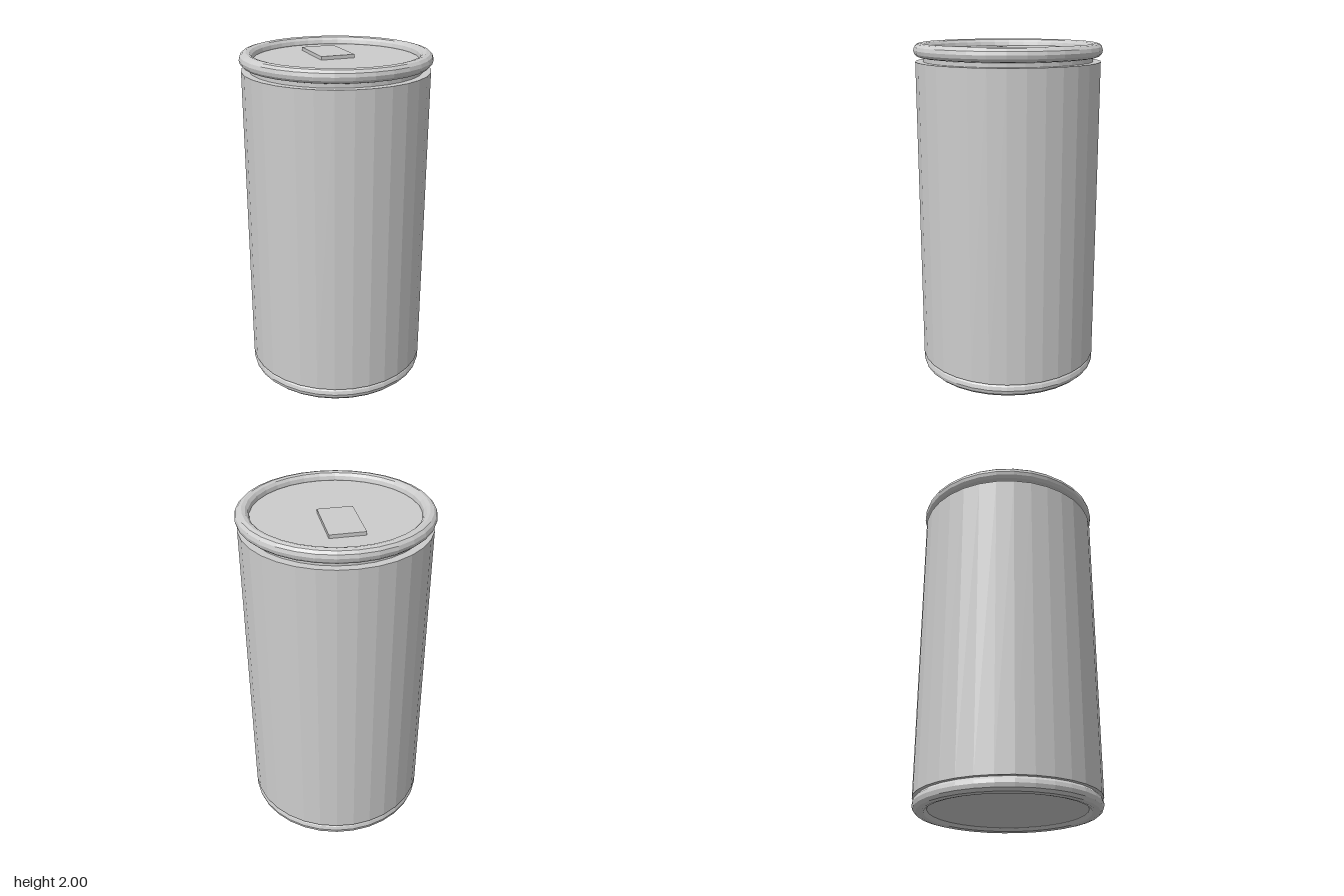
import * as THREE from 'three';

export function createModel() {
  const can = new THREE.Group();
  can.name = 'can';
  const metal = new THREE.MeshStandardMaterial({ color: 0xcccccc, flatShading: true });
  metal.name = 'plainGrey';
  const sides = 32;

  const add = (name, geometry, y, z = 0) => {
    const mesh = new THREE.Mesh(geometry, metal);
    mesh.name = name;
    mesh.position.set(0, y, z);
    can.add(mesh);
  };
  // Upright cylinder between two heights
  const drum = (name, radius, y0, y1) =>
    add(name, new THREE.CylinderGeometry(radius, radius, y1 - y0, sides), (y0 + y1) / 2);
  // Horizontal rolled rim
  const rim = (name, radius, tube, y) =>
    add(name, new THREE.TorusGeometry(radius, tube, 12, sides).rotateX(Math.PI / 2), y);

  // Main wall
  drum('body', 0.54, 0.085, 1.895);

  // Base rim and recessed bottom
  rim('bottomRim', 0.495, 0.045, 0.045);
  drum('bottomDisc', 0.47, 0.025, 0.085);

  // Neck and lid inside the rolled top rim
  drum('lid', 0.495, 1.895, 1.955);
  rim('topRim', 0.51, 0.04, 1.96);

  // Pull tab, set towards the back
  add('pullTab', new THREE.BoxGeometry(0.2, 0.02, 0.33), 1.965, -0.135);

  return can;
}
